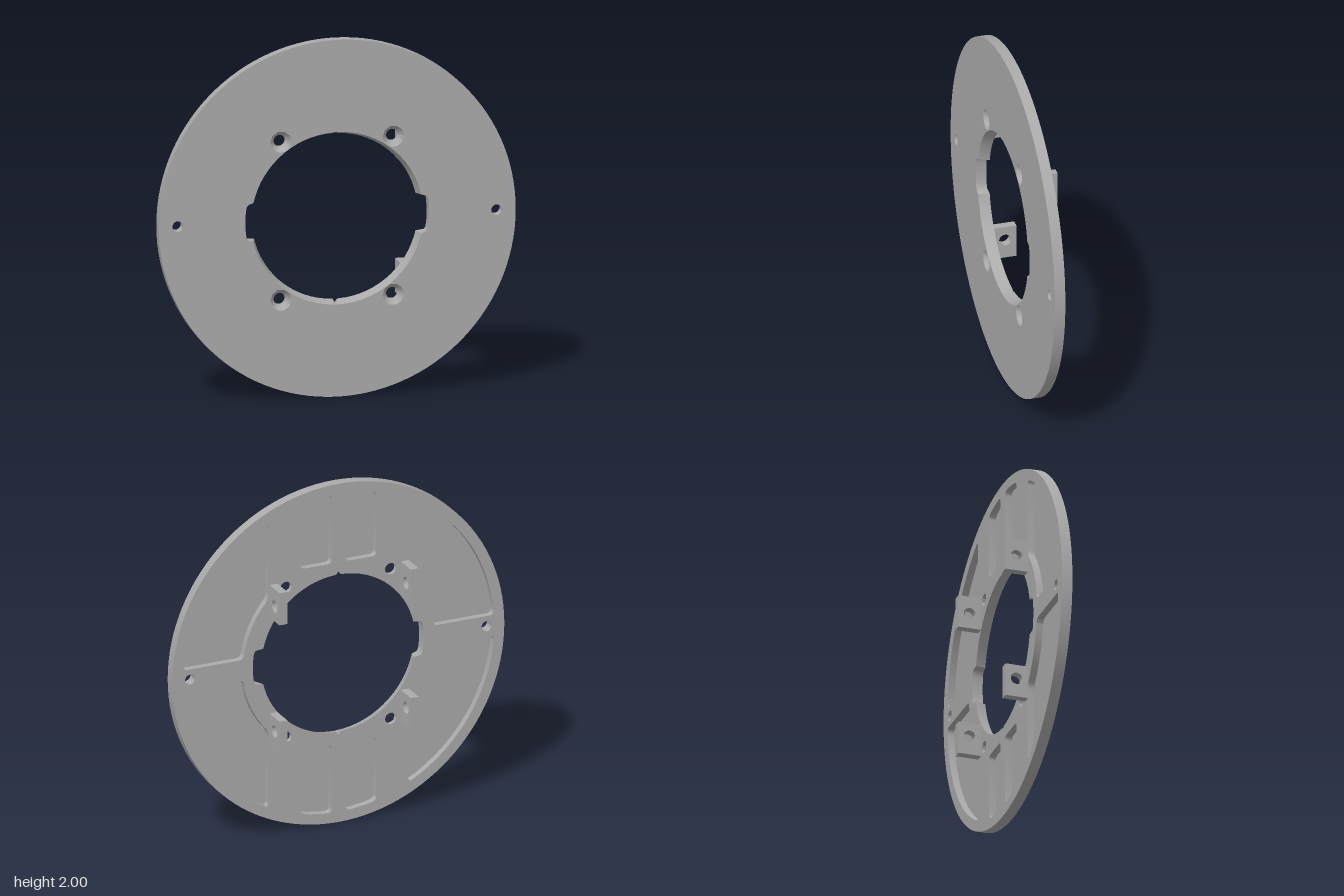
import * as THREE from 'three';
import { toCreasedNormals } from 'three/addons/utils/BufferGeometryUtils.js';

const CY = 1, FRONT = 0.095, BACK = 0.035, FLOOR = 0.074;
const V = (x, y) => new THREE.Vector2(x, y);
const polar = (r, a) => V(r * Math.cos(a), CY + r * Math.sin(a));

function circle(x, y, r, n) {
  return Array.from({ length: n }, (_, i) => {
    const a = (i / n) * Math.PI * 2;
    return V(x + r * Math.cos(a), y + r * Math.sin(a));
  });
}

function arc(r, a0, a1, n) {
  return Array.from({ length: n + 1 }, (_, i) => polar(r, a0 + ((a1 - a0) * i) / n));
}

// Replace sharp corners of a closed outline with small curves
function roundCorners(pts, d) {
  const out = [], n = pts.length;
  pts.forEach((p, i) => {
    const a = pts[(i + n - 1) % n].clone().sub(p).normalize();
    const b = pts[(i + 1) % n].clone().sub(p).normalize();
    if (a.dot(b) < -0.9) return out.push(p);
    const curve = new THREE.QuadraticBezierCurve(
      p.clone().addScaledVector(a, d), p, p.clone().addScaledVector(b, d));
    out.push(...curve.getPoints(5));
  });
  return out;
}

function mirror(pts, sx, sy) {
  const m = pts.map((p) => V(p.x * sx, CY + (p.y - CY) * sy));
  return sx * sy < 0 ? m.reverse() : m;
}

// Flat face with holes, facing +z or (back) -z
function face(outline, holes, z, back) {
  const shape = new THREE.Shape(outline);
  shape.holes = holes.map((h) => new THREE.Path(h));
  const geo = new THREE.ShapeGeometry(shape);
  if (back) geo.setIndex(Array.from(geo.index.array).reverse());
  geo.translate(0, 0, z);
  geo.computeVertexNormals();
  return geo;
}

// Wall between a front ring and a back ring, both counter-clockwise
function wall(a, za, b, zb, inward) {
  const pos = [], n = a.length;
  for (let i = 0; i < n; i++) {
    const j = (i + 1) % n;
    const A = [a[i].x, a[i].y, za], B = [b[i].x, b[i].y, zb];
    const C = [b[j].x, b[j].y, zb], D = [a[j].x, a[j].y, za];
    pos.push(...(inward ? [A, C, B, A, D, C] : [A, B, C, A, C, D]).flat());
  }
  const geo = new THREE.BufferGeometry();
  geo.setAttribute('position', new THREE.Float32BufferAttribute(pos, 3));
  return toCreasedNormals(geo, 0.6);
}

// Round opening with a wide notch at each side and a nick at top and bottom
function opening(r, nick) {
  const pts = [];
  for (const turn of [0, Math.PI]) {
    pts.push(...arc(0.515, turn - 0.165, turn + 0.165, 6));
    pts.push(polar(0.508, turn + 0.197), polar(r, turn + 0.228));
    pts.push(...arc(r, turn + 0.29, turn + Math.PI / 2 - 0.03, 14));
    pts.push(polar(nick, turn + Math.PI / 2));
    pts.push(...arc(r, turn + Math.PI / 2 + 0.03, turn + Math.PI - 0.29, 14));
    pts.push(polar(r, turn + Math.PI - 0.228), polar(0.508, turn + Math.PI - 0.197));
  }
  return pts;
}

export function createModel() {
  const group = new THREE.Group();
  const grey = new THREE.MeshStandardMaterial({ color: 0xaaaaaa });
  grey.name = 'plain grey';
  const add = (name, geo) => {
    const mesh = new THREE.Mesh(geo, grey);
    mesh.name = name;
    group.add(mesh);
    return mesh;
  };
  const quadrants = [[1, 1], [-1, 1], [-1, -1], [1, -1]];

  const rim = circle(0, CY, 1, 120);
  const openFront = opening(0.483, 0.485), openBack = opening(0.464, 0.482);
  const frontHoles = [openFront], backHoles = [openBack];

  // Outer edge and tapered central opening
  add('outerRim', wall(rim, FRONT, rim, BACK, false));
  add('centralOpening', wall(openFront, FRONT, openBack, BACK, true));

  // Mounting holes on the horizontal axis
  for (const s of [1, -1]) {
    const hole = circle(s * 0.893, CY, 0.03, 20);
    frontHoles.push(hole);
    backHoles.push(hole);
    add('mountingHole', wall(hole, FRONT, hole, BACK, true));
  }

  // Pocket outlines for one quadrant
  const sidePocket = roundCorners([
    ...arc(0.94, Math.asin(0.06 / 0.94), Math.acos(0.42 / 0.94), 14),
    ...arc(0.575, Math.acos(0.42 / 0.575), Math.asin(0.06 / 0.575), 6),
  ], 0.03);
  const slotPocket = roundCorners([
    V(0.04, 1.535), V(0.23, 1.535),
    ...arc(0.94, Math.acos(0.23 / 0.94), Math.acos(0.04 / 0.94), 3),
  ], 0.028);

  for (const [sx, sy] of quadrants) {
    // Countersunk screw holes
    const x = sx * 0.315, y = CY + sy * 0.443;
    const wide = circle(x, y, 0.06, 10), narrow = circle(x, y, 0.034, 10);
    frontHoles.push(wide);
    backHoles.push(narrow);
    add('countersink', wall(wide, FRONT, narrow, 0.06, true));
    add('screwHole', wall(narrow, 0.06, narrow, BACK, true));

    // Pockets in the back
    for (const [name, outline] of [['sidePocket', sidePocket], ['slotPocket', slotPocket]]) {
      const pts = mirror(outline, sx, sy);
      backHoles.push(pts);
      add(name + 'Wall', wall(pts, FLOOR, pts, BACK, true));
      add(name + 'Floor', face(pts, [], FLOOR, true));
    }

    // Drilled tabs standing out of the back
    const y0 = sy > 0 ? 1.285 : 0.525;
    const tab = new THREE.Shape([
      V(-BACK - 0.002, y0), V(0.095, y0), V(0.095, y0 + 0.19), V(-BACK - 0.002, y0 + 0.19)]);
    tab.holes.push(new THREE.Path(circle(0.03, sy > 0 ? 1.372 : 0.634, 0.034, 20)));
    const geo = new THREE.ExtrudeGeometry(tab, { depth: 0.048, bevelEnabled: false });
    geo.rotateY(Math.PI / 2);
    geo.translate(sx > 0 ? 0.367 : -0.424, 0, 0);
    add('tab', toCreasedNormals(geo, 0.6));
  }

  // Front and back faces of the plate
  add('frontFace', face(rim, frontHoles, FRONT, false));
  add('backFace', face(rim, backHoles, BACK, true));
  return group;
}
